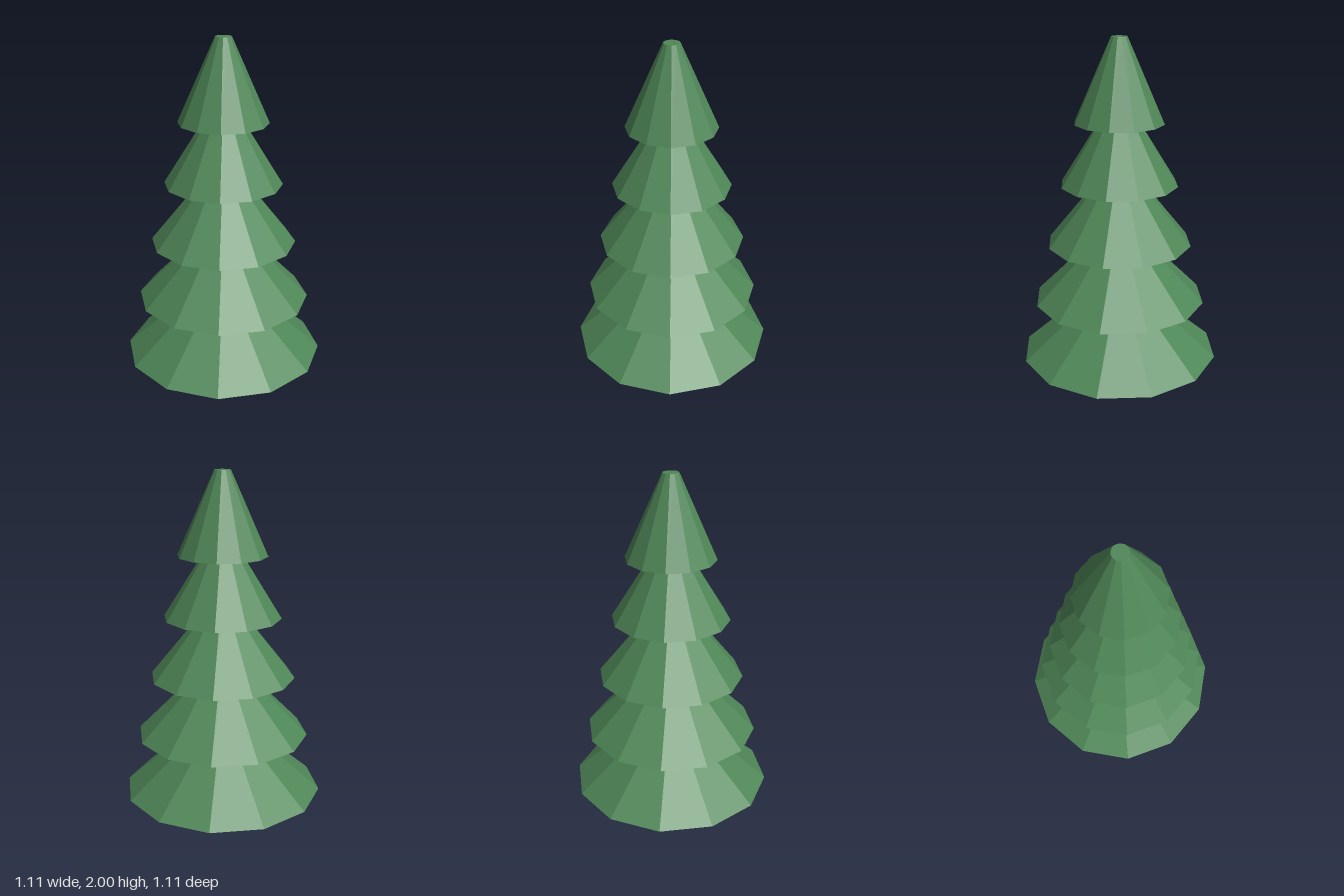
import * as THREE from 'three';

export function createModel() {
  const tree = new THREE.Group();
  tree.name = 'pineTree';
  const bark = new THREE.MeshStandardMaterial({ color: 0x7a6048, flatShading: true });
  const needles = new THREE.MeshStandardMaterial({ color: 0x4f8757, flatShading: true });

  // Tapered or straight prism standing on the given height
  function addPrism(name, topRadius, bottomRadius, base, height, sides, material) {
    const geometry = new THREE.CylinderGeometry(topRadius, bottomRadius, height, sides);
    geometry.translate(0, base + height / 2, 0);
    const mesh = new THREE.Mesh(geometry, material);
    mesh.name = name;
    tree.add(mesh);
  }

  // Eight-sided trunk
  addPrism('trunk', 0.076, 0.076, 0, 0.226, 8, bark);

  // Five overlapping foliage tiers, narrowing toward the top
  const tiers = 5, tierHeight = 0.442, firstBase = 0.226;
  const step = (2 - tierHeight - firstBase) / (tiers - 1);
  for (let i = 0; i < tiers; i++) {
    const radius = 0.553 - i * 0.0778;
    addPrism(`foliageTier${i + 1}`, 0.043, radius, firstBase + i * step, tierHeight, 12, needles);
  }
  return tree;
}
